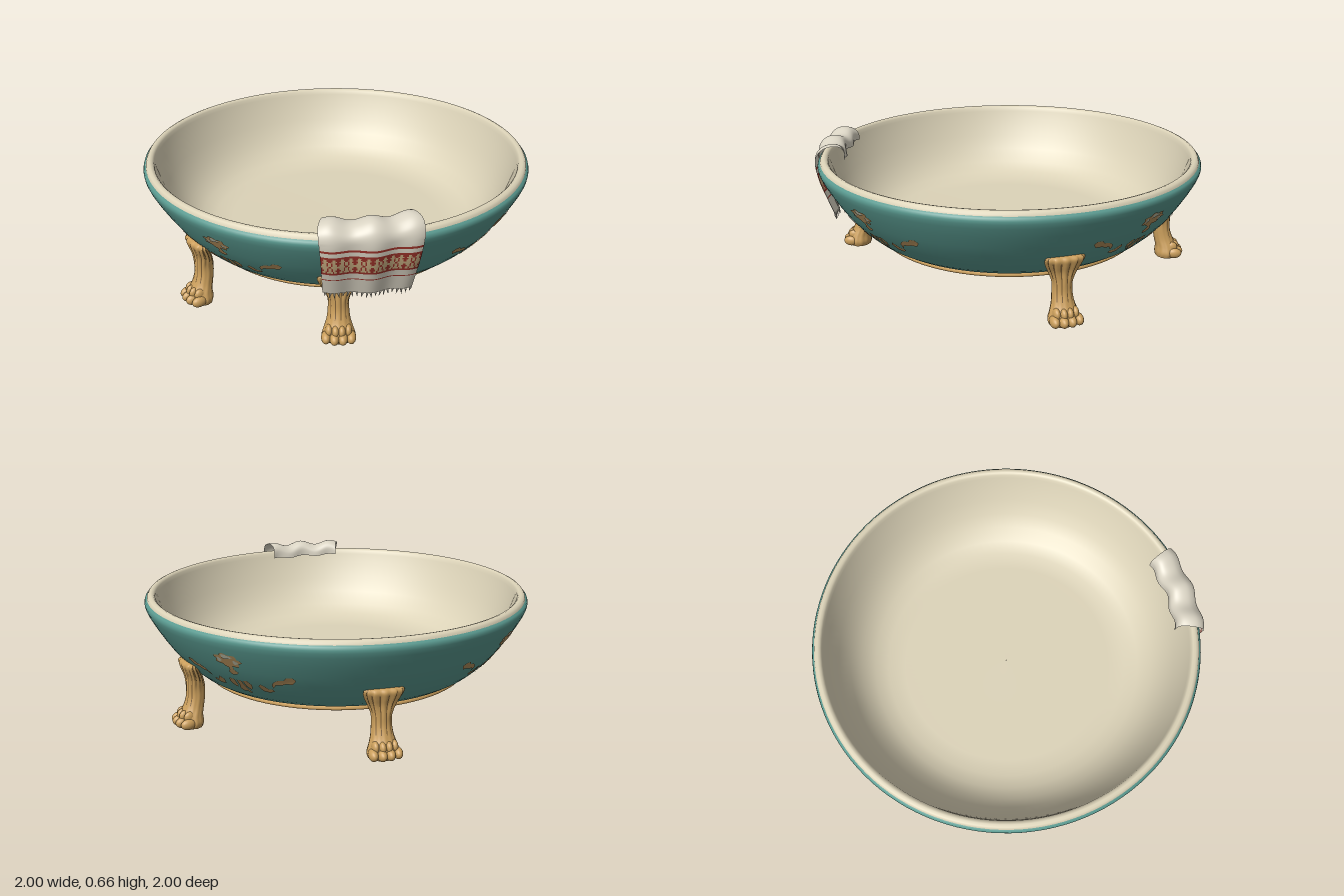
import * as THREE from 'three';
import { mergeGeometries } from 'three/addons/utils/BufferGeometryUtils.js';

const mat = (name, color, side = THREE.FrontSide) => {
  const m = new THREE.MeshStandardMaterial({ color, side });
  m.name = name;
  return m;
};
const V2 = (list) => list.map(([x, y]) => new THREE.Vector2(x, y));
const rad = THREE.MathUtils.degToRad;

// Outer wall of the basin as (radius, height)
const WALL = [[0.68, 0.185], [0.72, 0.2], [0.76, 0.225], [0.8, 0.26], [0.84, 0.302], [0.88, 0.35],
  [0.92, 0.408], [0.96, 0.473], [0.988, 0.525], [0.998, 0.55], [1, 0.565], [0.996, 0.578], [0.984, 0.586]];

function wallRadius(y) {
  for (let i = 1; i < WALL.length; i++) {
    const [r0, y0] = WALL[i - 1], [r1, y1] = WALL[i];
    if (y <= y1) return r0 + (r1 - r0) * (y - y0) / (y1 - y0);
  }
  return 1;
}

// Flat outlines (u, y) bent onto the basin wall
function wallPatches(outlines, lift) {
  return mergeGeometries(outlines.map((pts) => {
    const g = new THREE.ShapeGeometry(new THREE.Shape(V2(pts)));
    const p = g.attributes.position;
    for (let i = 0; i < p.count; i++) {
      const a = p.getX(i) / 0.9, y = p.getY(i), r = wallRadius(y) + lift;
      p.setXYZ(i, r * Math.sin(a), y, r * Math.cos(a));
    }
    g.computeVertexNormals();
    return g;
  }));
}

function blossom(cu, cy, ru, ry, petals, depth) {
  return Array.from({ length: petals * 4 }, (_, i) => {
    const a = i / (petals * 4) * Math.PI * 2, k = 1 + depth * Math.cos(a * petals);
    return [cu + ru * k * Math.cos(a), cy + ry * k * Math.sin(a)];
  });
}

// Lion-paw leg: lofted rings with a fluted fan on top; +z points outward
function legGeometry() {
  const rings = [[0, 0.86, 0.07, 0.055], [0.025, 0.862, 0.078, 0.062], [0.06, 0.858, 0.068, 0.056],
    [0.1, 0.843, 0.055, 0.05], [0.15, 0.83, 0.049, 0.046], [0.2, 0.828, 0.05, 0.045], [0.25, 0.835, 0.066, 0.038],
    [0.29, 0.85, 0.083, 0.034], [0.318, 0.862, 0.09, 0.028], [0.334, 0.862, 0.078, 0.016], [0.335, 0.86, 0.001, 0.001]];
  const path = new THREE.SplineCurve(V2(rings.map((r) => [r[0], r[1]])));
  const size = new THREE.SplineCurve(V2(rings.map((r) => [r[2], r[3]])));
  const rows = 40, cols = 72, pos = [], body = [], groove = [];
  for (let i = 0; i <= rows; i++) {
    const c = path.getPoint(i / rows), s = size.getPoint(i / rows);
    const flute = 0.015 + 0.07 * THREE.MathUtils.smoothstep(c.x, 0.17, 0.28);
    for (let j = 0; j < cols; j++) {
      const a = j / cols * Math.PI * 2, k = 1 + flute * Math.cos(12 * a);
      pos.push(s.x * k * Math.cos(a), Math.max(c.x, 0), c.y + s.y * k * Math.sin(a));
    }
  }
  for (let i = 0; i < rows; i++) for (let j = 0; j < cols; j++) {
    const n = (j + 1) % cols, a = i * cols + j, b = i * cols + n, c = a + cols, d = b + cols;
    const y = pos[a * 3 + 1];
    const dark = j % 6 === 3 && j > 5 && j < 32 && y > 0.1 && y < 0.305;
    (dark ? groove : body).push(a, c, b, b, c, d);
  }
  const g = new THREE.BufferGeometry();
  g.setAttribute('position', new THREE.Float32BufferAttribute(pos, 3));
  g.setIndex([...body, ...groove]);
  g.addGroup(0, body.length, 0);
  g.addGroup(body.length, groove.length, 1);
  g.computeVertexNormals();
  return g;
}

export function createModel() {
  const root = new THREE.Group();
  const teal = mat('teal enamel', 0x5a9a90);
  const cream = mat('cream enamel', 0xdcd3b8);
  const gold = mat('gold', 0xcb9f5c);
  const groove = mat('dark gold grooves', 0x7a5c34);
  const tan = mat('tan paint', 0xb48f5c, THREE.DoubleSide);
  const pale = mat('pale petals', 0xb9bba6, THREE.DoubleSide);
  const linen = mat('towel linen', 0xd9d3c3, THREE.DoubleSide);
  const red = mat('towel red', 0x9a3229, THREE.DoubleSide);
  const motifTan = mat('towel tan', 0xc6ac80, THREE.DoubleSide);

  const add = (parent, name, geo, material) => {
    const m = new THREE.Mesh(geo, material);
    m.name = name;
    parent.add(m);
    return m;
  };
  const lathe = (pts) => new THREE.LatheGeometry(V2(pts), 120);

  // Basin
  add(root, 'basinOuterWall', lathe(WALL), teal);
  add(root, 'basinLining', lathe([[0.988, 0.58], [0.985, 0.592], [0.978, 0.601], [0.966, 0.606], [0.954, 0.603],
    [0.945, 0.594], [0.94, 0.575], [0.92, 0.52], [0.885, 0.435], [0.84, 0.355], [0.785, 0.288], [0.72, 0.243],
    [0.65, 0.221], [0.56, 0.212], [0.001, 0.21]]), cream);
  add(root, 'basePlate', lathe([[0.001, 0.176], [0.665, 0.176], [0.672, 0.168], [0.685, 0.166], [0.697, 0.171],
    [0.7, 0.18], [0.694, 0.188], [0.68, 0.192]]), gold);

  // Painted flower sprays, one on each side
  const half = [
    [[0.1, 0.325], [0.115, 0.295], [0.15, 0.29], [0.18, 0.305], [0.172, 0.318], [0.15, 0.315], [0.135, 0.33], [0.118, 0.342]],
    [[0.18, 0.325], [0.2, 0.35], [0.225, 0.352], [0.25, 0.362], [0.285, 0.365], [0.305, 0.39], [0.29, 0.405],
      [0.262, 0.403], [0.245, 0.385], [0.22, 0.382], [0.195, 0.368], [0.18, 0.35]],
    [[0.022, 0.345], [0.05, 0.35], [0.065, 0.325], [0.055, 0.3], [0.04, 0.29], [0.025, 0.31]],
  ];
  const mirrored = half.map((o) => o.map(([u, y]) => [-u, y]));
  const tanShapes = [...half, ...mirrored, blossom(0, 0.462, 0.066, 0.036, 7, 0.14),
    [[-0.012, 0.43], [0.012, 0.43], [0.014, 0.41], [0.03, 0.395], [0.01, 0.38], [-0.012, 0.378], [-0.025, 0.395], [-0.01, 0.41]],
    [[-0.012, 0.345], [0.015, 0.345], [0.02, 0.3], [0.032, 0.27], [0.022, 0.256], [0.002, 0.275], [-0.02, 0.268], [-0.03, 0.285], [-0.015, 0.31]]];
  const tanGeo = wallPatches(tanShapes, 0.004);
  const paleGeo = wallPatches([blossom(0, 0.483, 0.026, 0.012, 3, 0.25),
    blossom(-0.042, 0.462, 0.011, 0.013, 3, 0.25), blossom(0.04, 0.456, 0.013, 0.011, 3, 0.25)], 0.006);
  for (let i = 0; i < 4; i++) {
    const spray = new THREE.Group();
    spray.name = 'flowerSpray';
    spray.rotation.y = rad(-9 + 90 * i);
    add(spray, 'leavesAndBlossom', tanGeo, tan);
    add(spray, 'palePetals', paleGeo, pale);
    root.add(spray);
  }

  // Paw legs
  const legGeo = legGeometry();
  const toeGeo = new THREE.SphereGeometry(1, 20, 14);
  for (const [name, deg] of [['frontLeftLeg', 26.5], ['frontRightLeg', -26.5], ['backLeftLeg', 144], ['backRightLeg', -144]]) {
    const leg = new THREE.Group();
    leg.name = name;
    leg.rotation.y = rad(deg);
    add(leg, 'shin', legGeo, [gold, groove]);
    for (const k of [-1.5, -0.5, 0.5, 1.5]) {
      const out = Math.abs(k) < 1 ? 0.012 : 0;
      const toe = add(leg, 'toe', toeGeo, gold);
      toe.position.set(k * 0.039, 0.028, 0.898 + out);
      toe.scale.set(0.023, 0.028, 0.04);
      const knuckle = add(leg, 'knuckle', toeGeo, gold);
      knuckle.position.set(k * 0.03, 0.058, 0.885 + out);
      knuckle.scale.set(0.018, 0.03, 0.03);
    }
    root.add(leg);
  }

  // Towel draped over the rim
  const towel = new THREE.Group();
  towel.name = 'towel';
  towel.rotation.y = rad(36);
  root.add(towel);
  const rows = 96, cols = 72;
  const drape = new THREE.SplineCurve(V2([[0.865, 0.582], [0.87, 0.62], [0.893, 0.645], [0.93, 0.652], [0.97, 0.642],
    [1.003, 0.61], [1.01, 0.56], [0.994, 0.47], [0.964, 0.38], [0.93, 0.285]])).getSpacedPoints(rows);
  const place = (s, p) => {
    const outside = THREE.MathUtils.smoothstep(p.x, 0.86, 1.0);
    const width = p.y < 0.57 ? 0.205 + 0.028 * (p.y - 0.28) / 0.29 : 0.195 + 0.04 * outside;
    const wave = Math.cos(7.5 * s - 0.3);
    const lift = THREE.MathUtils.smoothstep(p.y, 0.54, 0.65);
    return [-0.02 + s * width, p.y + 0.011 * wave * lift + 0.006 * s * (lift - 1),
      p.x + 0.009 * wave * (1 - 0.5 * lift) - 0.028 * s * s];
  };
  const motif = ['............', '..##....##..', '.####..####.', '..##.##.##..', '.###.##.###.',
    '#####..#####', '.###.##.###.', '..##.##.##..', '.##.####.##.', '............'];
  const pos = [], idx = [[], [], []];
  for (let i = 0; i <= rows; i++) for (let j = 0; j <= cols; j++) pos.push(...place(j / cols * 2 - 1, drape[i]));
  for (let i = 0; i < rows; i++) for (let j = 0; j < cols; j++) {
    const y = (drape[i].y + drape[i + 1].y) / 2;
    let m = 0;
    if (drape[i].x > 0.92) {
      if (Math.abs(y - 0.537) < 0.005 || Math.abs(y - 0.372) < 0.005) m = 1;
      else if (y > 0.405 && y < 0.51) m = motif[Math.floor((0.51 - y) / 0.1051 * 10)][j % 12] === '#' ? 2 : 1;
    }
    const a = i * (cols + 1) + j, b = a + 1, c = a + cols + 1, d = c + 1;
    idx[m].push(a, c, b, b, c, d);
  }
  const cloth = new THREE.BufferGeometry();
  cloth.setAttribute('position', new THREE.Float32BufferAttribute(pos, 3));
  cloth.setIndex(idx.flat());
  let start = 0;
  idx.forEach((list, m) => { cloth.addGroup(start, list.length, m); start += list.length; });
  cloth.computeVertexNormals();
  add(towel, 'cloth', cloth, [linen, red, motifTan]);

  // Towel fringe
  for (let i = 0; i < 20; i++) {
    const len = 0.026 + 0.012 * Math.abs(Math.sin(i * 2.3));
    const [x, y, z] = place((i + 0.5) / 10 - 1, drape[rows]);
    const tassel = add(towel, 'tassel', new THREE.ConeGeometry(0.006, len, 6), linen);
    tassel.position.set(x, y - len / 2 + 0.002, z - 0.004);
    tassel.rotation.set(Math.PI + 0.25, 0, 0.2 * Math.sin(i * 1.7));
  }
  return root;
}
